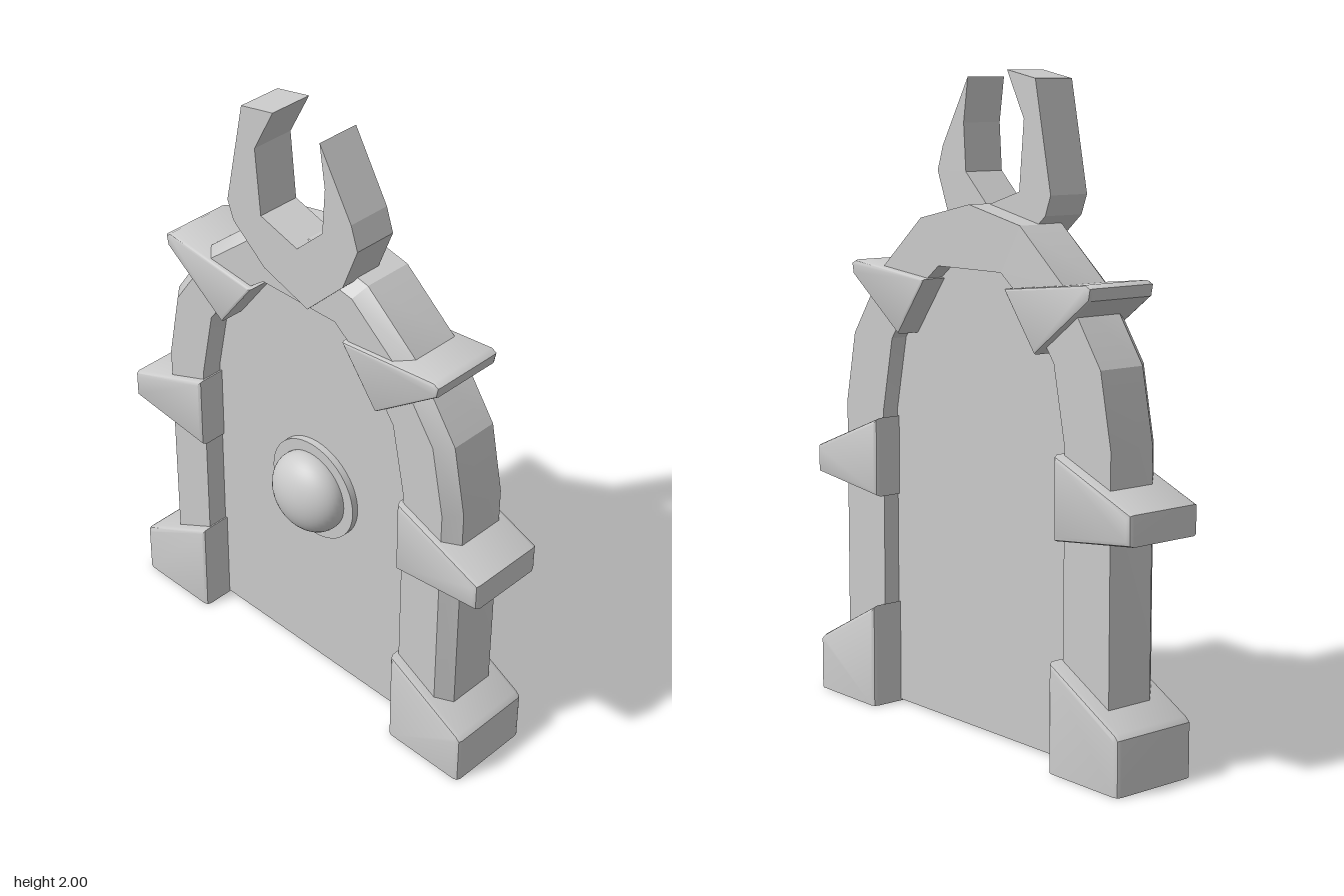
import * as THREE from 'three';
import { toCreasedNormals } from 'three/addons/utils/BufferGeometryUtils.js';

const grey = new THREE.MeshStandardMaterial({ color: 0xcccccc });
const greyDouble = new THREE.MeshStandardMaterial({ color: 0xcccccc, side: THREE.DoubleSide });

const toShape = (pts) => new THREE.Shape(pts.map(([x, y]) => new THREE.Vector2(x, y)));
const mirror = (pts) => pts.map(([x, y]) => [-x, y]);

function part(name, geometry, material = grey) {
  const mesh = new THREE.Mesh(geometry, material);
  mesh.name = name;
  return mesh;
}

// Outline extruded from z0 to z1, the bevel staying inside the outline
function slab(pts, z0, z1, bevel = 0) {
  const g = new THREE.ExtrudeGeometry(toShape(pts), {
    depth: z1 - z0 - 2 * bevel,
    bevelEnabled: bevel > 0,
    bevelThickness: bevel,
    bevelSize: bevel,
    bevelOffset: -bevel,
    bevelSegments: 2,
  });
  g.translate(0, 0, z0 + bevel);
  return g;
}

// Cut a geometry off at the ground and leave it open underneath
function openBottom(geometry) {
  const src = geometry.index ? geometry.toNonIndexed() : geometry;
  const p = src.attributes.position;
  const kept = [];
  for (let i = 0; i < p.count; i += 3) {
    const ys = [0, 1, 2].map((k) => Math.max(0, p.getY(i + k)));
    if (Math.max(...ys) < 1e-4) continue;
    ys.forEach((y, k) => kept.push(p.getX(i + k), y, p.getZ(i + k)));
  }
  const g = new THREE.BufferGeometry();
  g.setAttribute('position', new THREE.Float32BufferAttribute(kept, 3));
  g.computeVertexNormals();
  return g;
}

// Half of the arch: matching outer and inner points, from the ground to the apex
const outerHalf = [[0.617, 0.03], [0.617, 0.96], [0.573, 1.18], [0.425, 1.395], [0.23, 1.56], [0, 1.61]];
const innerHalf = [[0.425, 0.03], [0.425, 0.95], [0.378, 1.18], [0.27, 1.325], [0.145, 1.42], [0, 1.42]];
const fullArch = (half) => [...half, ...mirror(half.slice(0, -1)).reverse()];

// Arch swept through a cross-section with a chamfered outer front edge
function archGeometry() {
  const outer = fullArch(outerHalf);
  const inner = fullArch(innerHalf);
  const section = [[0, -0.105], [0, 0.055], [0.22, 0.1], [1, 0.1], [1, -0.105]]; // [outer to inner, z]
  const n = section.length;
  const pos = [];
  const idx = [];
  outer.forEach(([ox, oy], i) => {
    const [ix, iy] = inner[i];
    section.forEach(([t, z]) => pos.push(ox + (ix - ox) * t, oy + (iy - oy) * t, z));
  });
  for (let i = 0; i < outer.length - 1; i++) {
    for (let j = 0; j < n; j++) {
      const k = (j + 1) % n;
      const a = i * n + j, b = a + n, c = (i + 1) * n + k, d = i * n + k;
      idx.push(a, b, c, a, c, d);
    }
  }
  const g = new THREE.BufferGeometry();
  g.setAttribute('position', new THREE.Float32BufferAttribute(pos, 3));
  g.setIndex(idx);
  return toCreasedNormals(g, 0.4);
}

export function createModel() {
  const model = new THREE.Group();
  model.name = 'archedDoor';

  // Symmetrical frame and panel
  const gate = new THREE.Group();
  gate.name = 'gate';
  gate.position.x = -0.006;
  model.add(gate);

  gate.add(part('archFrame', archGeometry(), greyDouble));

  const panel = [[0.43, 0.005], ...innerHalf.slice(1, -1)];
  gate.add(part('doorPanel', slab([...panel, ...mirror(panel).reverse()], -0.05, 0.03)));

  // Spikes clamped around the frame, mirrored left and right
  const spikes = [
    ['footBlock', [[0.417, -0.05], [0.71, -0.05], [0.71, 0.165], [0.695, 0.18], [0.417, 0.328]], -0.157, 0.132],
    ['sideSpike', [[0.417, 0.677], [0.735, 0.713], [0.735, 0.803], [0.417, 0.927]], -0.142, 0.122],
    ['upperSpike', [[0.185, 1.378], [0.318, 1.2], [0.548, 1.37], [0.555, 1.405], [0.535, 1.415]], -0.13, 0.115],
  ];
  for (const [name, pts, z0, z1] of spikes) {
    for (const side of ['left', 'right']) {
      let g = slab(side === 'left' ? pts : mirror(pts), z0, z1, name === 'upperSpike' ? 0.01 : 0.016);
      const isFoot = name === 'footBlock';
      if (isFoot) g = openBottom(g);
      gate.add(part(`${side} ${name}`, toCreasedNormals(g, 0.7), isFoot ? greyDouble : grey));
    }
  }

  // Crescent of two uneven horns on top
  const horns = [
    [0.04, 1.42], [0.18, 1.56], [0.235, 1.7], [0.21, 1.775], [0.09, 1.98], [0.11, 1.845], [0.1, 1.7], [0, 1.605],
    [-0.145, 1.65], [-0.165, 1.86], [-0.09, 2], [-0.215, 1.975], [-0.283, 1.645], [-0.26, 1.585], [-0.135, 1.48],
  ];
  model.add(part('hornCrest', slab(horns, -0.03, 0.11)));

  // Round boss in the middle of the door
  const plate = new THREE.CylinderGeometry(0.172, 0.172, 0.1, 48);
  plate.rotateX(Math.PI / 2).translate(0, 0.705, 0.002);
  model.add(part('bossPlate', plate));

  const dome = new THREE.SphereGeometry(0.136, 40, 24);
  dome.scale(1, 1, 0.68).translate(0, 0.705, 0.065);
  model.add(part('bossDome', dome));

  return model;
}
